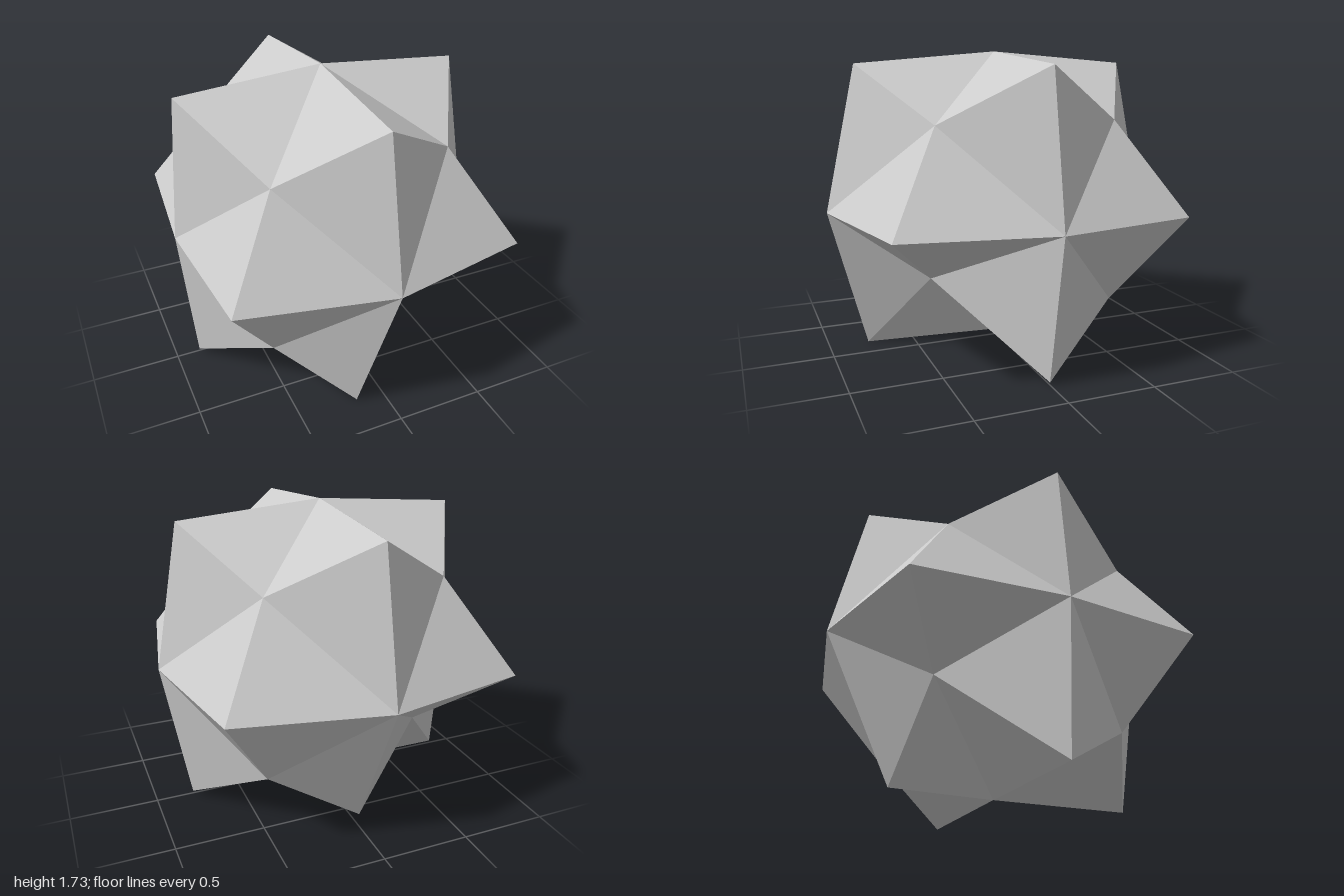
import * as THREE from 'three';

// Faceted rock: a cube lattice (6 axis points, 12 outer tips, 8 sunken corners)
// joined by 48 triangles, with a few points pushed off the regular pattern.
const CENTER = new THREE.Vector3(-0.04, 0.84, 0);
const SCALE = [0, 0.89, 0.823, 0.517]; // by number of non-zero lattice coordinates

// Irregular points, keyed by lattice position, relative to the centre
const MOVED = {
  '1,0,0': [0.97, 0, 0],
  '0,-1,0': [0, -0.82, 0],
  '0,0,1': [0, 0, 1],
  '0,0,-1': [0, 0, -1],
  '0,-1,1': [-0.12, -0.837, 0.77],
  '0,-1,-1': [0, -0.82, -0.605],
  '1,-1,1': [0.16, -0.395, 0.45],
  '-1,-1,-1': [-0.37, -0.314, -0.515],
  '-1,1,1': [-0.517, 0.517, 0.577],
};

function latticePoint(p) {
  const moved = MOVED[p.join(',')];
  const s = SCALE[p.filter((v) => v !== 0).length];
  return new THREE.Vector3(...(moved || p.map((v) => v * s))).add(CENTER);
}

export function createModel() {
  const points = [];
  const orders = [[0, 1, 2], [1, 2, 0], [2, 0, 1], [0, 2, 1], [2, 1, 0], [1, 0, 2]];

  // Each triangle steps from an axis point to an outer tip to a corner
  orders.forEach((order, n) => {
    for (let bits = 0; bits < 8; bits++) {
      const sign = [0, 1, 2].map((k) => ((bits >> k) & 1 ? -1 : 1));
      const p = [0, 0, 0];
      const tri = order.map((axis) => {
        p[axis] = sign[axis];
        return latticePoint(p);
      });
      const parity = (n < 3 ? 1 : -1) * sign[0] * sign[1] * sign[2];
      if (parity < 0) tri.reverse();
      points.push(...tri);
    }
  });

  const geometry = new THREE.BufferGeometry().setFromPoints(points);
  geometry.computeVertexNormals();

  const rock = new THREE.Mesh(
    geometry,
    new THREE.MeshStandardMaterial({ color: 0xcccccc, flatShading: true })
  );
  rock.name = 'facetedRock';

  const group = new THREE.Group();
  group.name = 'rock';
  group.add(rock);
  return group;
}
